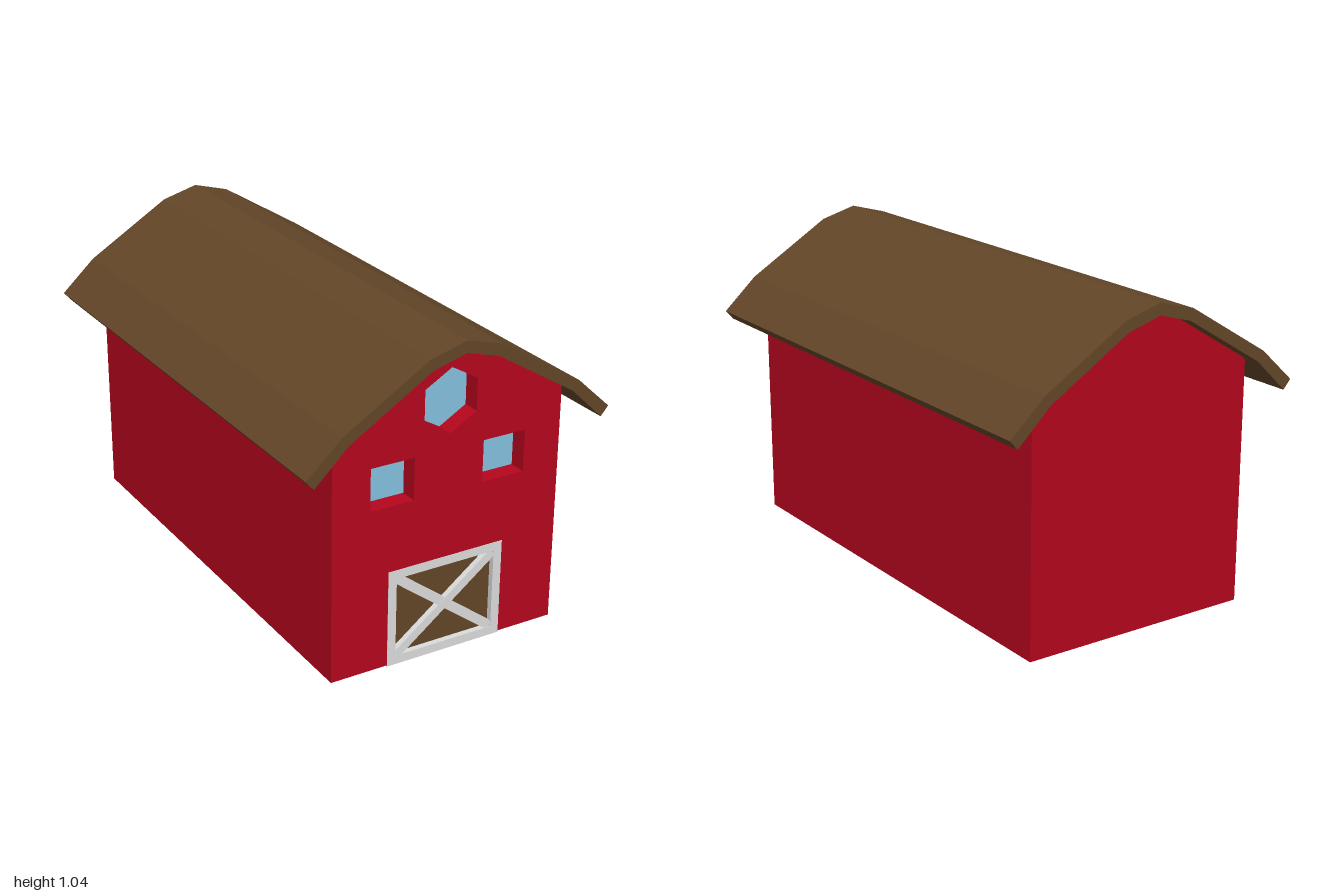
import * as THREE from 'three';

const mat = (name, color, side = THREE.FrontSide) =>
  Object.assign(new THREE.MeshStandardMaterial({ color, side }), { name });

export function createModel() {
  const red = mat('barnRed', 0xb5051d, THREE.DoubleSide);
  const brown = mat('woodBrown', 0x634628);
  const white = mat('trimWhite', 0xdcdcdc);
  const blue = mat('glassBlue', 0x85c0de, THREE.DoubleSide);

  const barn = new THREE.Group();
  barn.name = 'barn';

  const add = (name, geometry, material) => {
    const mesh = new THREE.Mesh(geometry, material);
    mesh.name = name;
    barn.add(mesh);
    return mesh;
  };
  const toPoints = (pts) => pts.map(([x, y]) => new THREE.Vector2(x, y));
  const toShape = (pts) => new THREE.Shape(toPoints(pts));
  const rect = (x0, y0, x1, y1) => [[x0, y0], [x1, y0], [x1, y1], [x0, y1]];
  // Flat face at a depth, and a solid extruded between two depths
  const flat = (shape, z) => new THREE.ShapeGeometry(shape).translate(0, 0, z);
  const slab = (shape, z0, z1) =>
    new THREE.ExtrudeGeometry(shape, { depth: z1 - z0, bevelEnabled: false }).translate(0, 0, z0);
  // Open band of flat quads following a closed outline between two depths
  const band = (pts, z0, z1) => {
    const pos = [];
    pts.forEach(([ax, ay], i) => {
      const [bx, by] = pts[(i + 1) % pts.length];
      pos.push(ax, ay, z0, bx, by, z0, bx, by, z1, ax, ay, z0, bx, by, z1, ax, ay, z1);
    });
    const g = new THREE.BufferGeometry();
    g.setAttribute('position', new THREE.Float32BufferAttribute(pos, 3));
    g.computeVertexNormals();
    // Counter-clockwise outlines must face inward, toward the opening
    g.setIndex([...Array(pos.length / 3).keys()].reverse());
    const n = g.attributes.normal;
    for (let i = 0; i < n.count; i++) n.setXYZ(i, -n.getX(i), -n.getY(i), -n.getZ(i));
    return g;
  };
  // Mirror a right-hand profile (apex first) into a full left-to-right line
  const mirror = (half) => [...half.slice(1).reverse().map(([x, y]) => [-x, y]), ...half];

  // Roof: bent shell overhanging the walls on every side
  const outer = [[0, 1.038], [0.123, 1.004], [0.404, 0.832], [0.52, 0.725]];
  const inner = [[0, 1.0], [0.112, 0.968], [0.383, 0.802], [0.494, 0.695]];
  add('roof', slab(toShape([...mirror(outer), ...mirror(inner).reverse()]), -0.855, 0.855), brown);

  // Walls: thin hollow shell, open underneath
  const W = 0.396, L = 0.785, base = 0.004, eave = 0.795;
  const DW = 0.202, DH = 0.322;
  const gableTop = mirror([[0, 1.002], [0.112, 0.97], [0.383, 0.804], [W, eave]]);
  const gable = [[-W, base], ...gableTop, [W, base]];
  add('backWall', flat(toShape(gable), -L).rotateY(Math.PI).translate(0, 0, -2 * L), red);
  for (const s of [-1, 1]) {
    const side = new THREE.PlaneGeometry(2 * L, eave - base).rotateY((s * Math.PI) / 2);
    add(s > 0 ? 'leftWall' : 'rightWall', side.translate(s * W, (eave + base) / 2, 0), red);
  }

  // Front wall: notched for the door, pierced by recessed windows
  const square = (x) => rect(x - 0.074, 0.538, x + 0.074, 0.675);
  const hexagon = Array.from({ length: 6 }, (_, i) => {
    const a = Math.PI / 2 + (i * Math.PI) / 3;
    return [0.104 * Math.cos(a), 0.828 + 0.104 * Math.sin(a)];
  });
  const openings = { leftWindow: square(0.194), rightWindow: square(-0.194), loftWindow: hexagon };
  const front = toShape([...gable, [DW, base], [DW, DH], [-DW, DH], [-DW, base]]);
  const recess = 0.057;
  for (const [name, pts] of Object.entries(openings)) {
    front.holes.push(new THREE.Path(toPoints(pts)));
    add(name + 'Reveal', band(pts, L - recess, L), red);
    add(name, flat(toShape(pts), L - recess), blue);
  }
  add('frontWall', flat(front, L), red);

  // Door: frame flush with the wall, set-back panel and crossed braces
  const t = 0.029, bw = 2 * (DW - t), bh = DH - 2 * t;
  const frame = toShape(rect(-DW, 0, DW, DH));
  frame.holes.push(new THREE.Path(toPoints(rect(-DW + t, t, DW - t, DH - t))));
  add('doorFrame', slab(frame, L - 0.028, L + 0.001), white);
  add('doorPanel', slab(toShape(rect(-DW + t, t, DW - t, DH - t)), L - 0.026, L - 0.018), brown);
  for (const s of [-1, 1]) {
    const depth = 0.018 + s * 0.0005;
    const brace = new THREE.BoxGeometry(Math.hypot(bw, bh) - 0.008, t, depth);
    const mesh = add('doorBrace', brace, white);
    mesh.position.set(0, DH / 2, L - 0.018 + depth / 2);
    mesh.rotation.z = s * Math.atan2(bh, bw);
  }

  // The whole barn stands turned on its base
  barn.rotation.y = Math.PI / 3;
  const model = new THREE.Group();
  model.name = 'barnModel';
  model.add(barn);
  return model;
}
